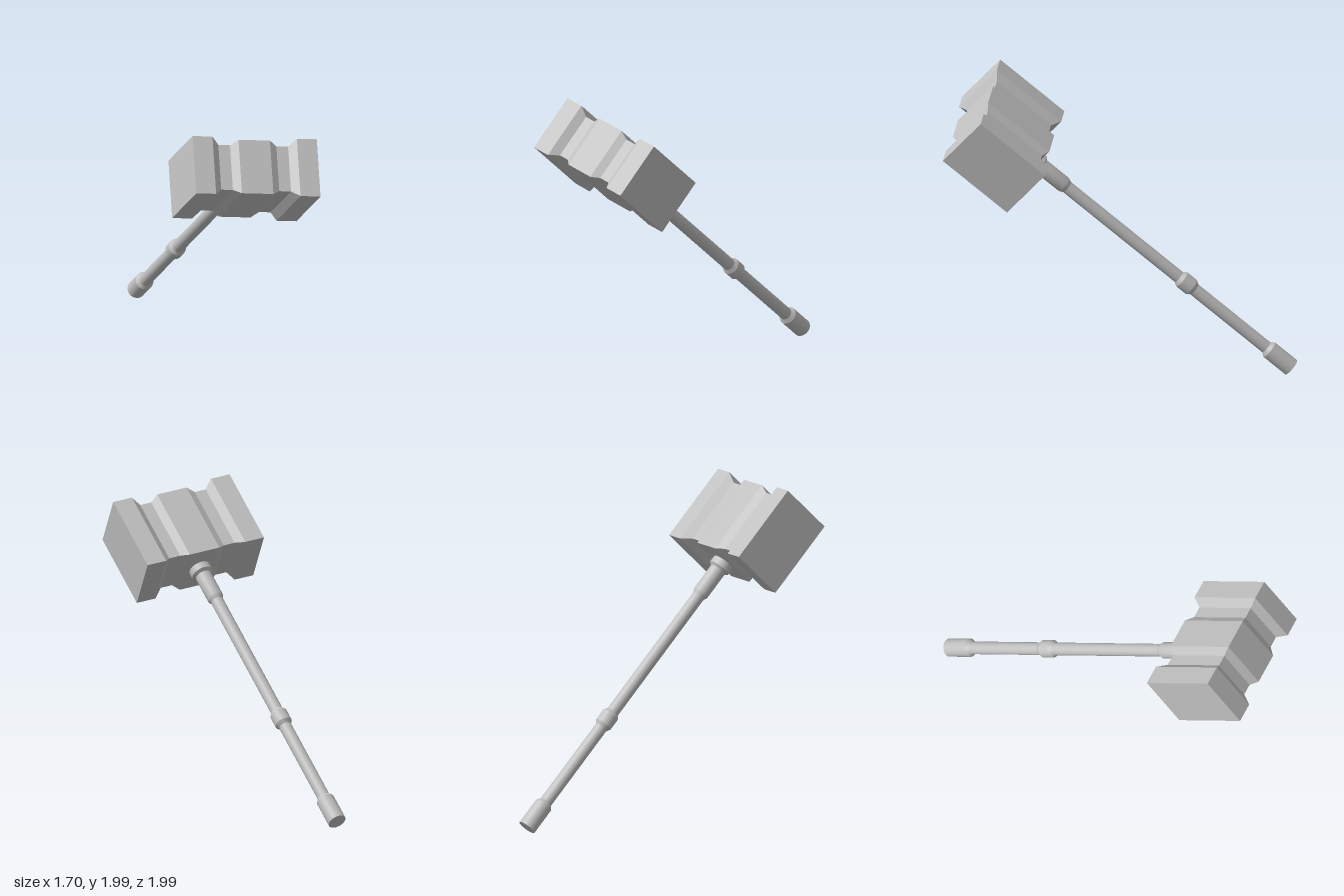
import * as THREE from 'three';
import { toCreasedNormals } from 'three/addons/utils/BufferGeometryUtils.js';

// Half of the head's outline: [distance from middle, inset of the section]
const HALF = [[0.105, 0.013], [0.155, 0.042], [0.233, 0.042], [0.282, 0], [0.415, 0]];

// Block whose square sections step in and out along its length
function headGeometry(height, depth) {
  const stations = [...HALF.map(([x, i]) => [-x, i]).reverse(), ...HALF];
  const n = stations.length - 1;
  const geo = new THREE.BoxGeometry(n, height, depth, n, 1, 1);
  const p = geo.attributes.position;
  for (let k = 0; k < p.count; k++) {
    const [x, inset] = stations[Math.round(p.getX(k) + n / 2)];
    const y = p.getY(k), z = p.getZ(k);
    p.setXYZ(k, x, y - Math.sign(y) * inset, z - Math.sign(z) * inset);
  }
  const flat = geo.toNonIndexed();
  flat.computeVertexNormals();
  return flat;
}

export function createModel() {
  const grey = new THREE.MeshStandardMaterial({ color: 0xc0c0c0 });
  grey.name = 'stone grey';

  const hammer = new THREE.Group();
  hammer.name = 'hammer';

  function add(name, geometry, y = 0) {
    const mesh = new THREE.Mesh(geometry, grey);
    mesh.name = name;
    mesh.position.y = y;
    hammer.add(mesh);
  }
  // Turned part from [radius, height along the handle] pairs
  function turned(name, profile) {
    const points = profile.map(([r, y]) => new THREE.Vector2(r, y));
    add(name, toCreasedNormals(new THREE.LatheGeometry(points, 24), 0.45));
  }

  // Handle, from the butt up
  turned('pommel', [[0, 0], [0.059, 0], [0.059, 0.185], [0.041, 0.21]]);
  turned('shaft', [[0.041, 0.18], [0.041, 2.15]]);
  turned('gripRing', [[0.041, 0.815], [0.057, 0.84], [0.057, 0.92], [0.041, 0.945]]);
  turned('neckCollar', [[0.041, 1.885], [0.053, 1.91], [0.053, 2.1], [0.072, 2.115], [0.072, 2.17]]);

  // Head across the top of the handle
  add('head', headGeometry(0.54, 0.383), 2.418);

  // Lean the whole hammer: handle axis up, head axis across
  const up = new THREE.Vector3(0.466, 0.65, 0.601).normalize();
  const across = new THREE.Vector3(0.85, -0.147, -0.504);
  across.addScaledVector(up, -across.dot(up)).normalize();
  const forward = new THREE.Vector3().crossVectors(across, up);
  hammer.quaternion.setFromRotationMatrix(new THREE.Matrix4().makeBasis(across, up, forward));
  hammer.position.set(-0.803, 0.045, -0.953);

  const model = new THREE.Group();
  model.name = 'leaningHammer';
  model.add(hammer);
  return model;
}
